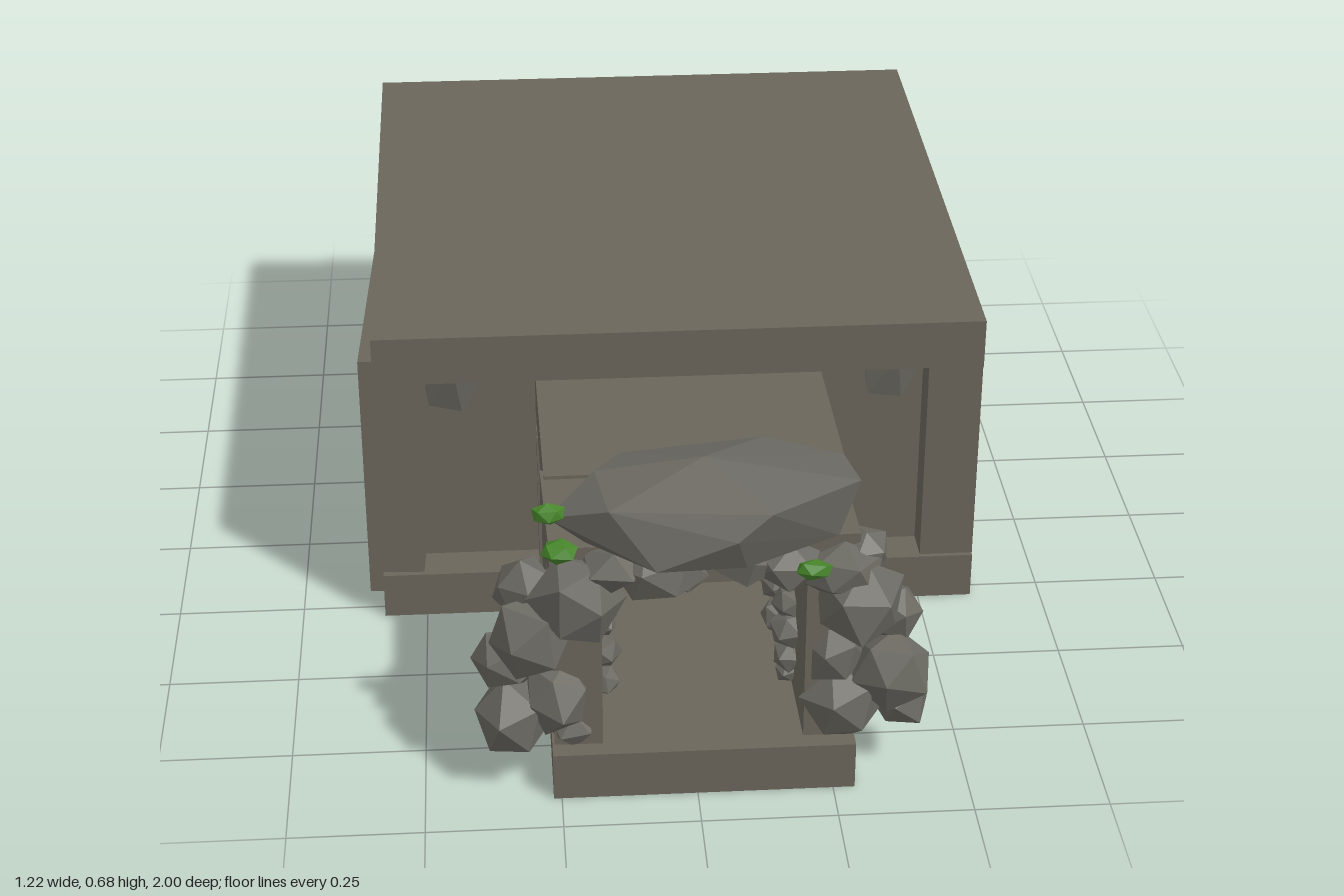
import * as THREE from 'three';
import { ConvexGeometry } from 'three/addons/geometries/ConvexGeometry.js';

export function createModel() {
  const model = new THREE.Group();
  model.name = 'caveDen';

  const material = (name, color) => {
    const m = new THREE.MeshStandardMaterial({ color, flatShading: true });
    m.name = name;
    return m;
  };
  const stone = material('stone', 0x6b665b);
  const boulder = material('boulder', 0x6b6962);
  const moss = material('moss', 0x47852b);

  // Small seeded generator for rock variation
  let seed = 17;
  const random = () => {
    seed = (seed * 16807) % 2147483647;
    return seed / 2147483647;
  };
  const spread = (amount) => (random() * 2 - 1) * amount;

  function add(parent, name, geometry, mat) {
    const mesh = new THREE.Mesh(geometry, mat);
    mesh.name = name;
    parent.add(mesh);
    return mesh;
  }

  // Slab given by its extents on each axis, with a slight tilt
  function slab(name, [x0, x1], [y0, y1], [z0, z1], rx = 0, ry = 0) {
    const mesh = add(model, name, new THREE.BoxGeometry(x1 - x0, y1 - y0, z1 - z0), stone);
    mesh.position.set((x0 + x1) / 2, (y0 + y1) / 2, (z0 + z1) / 2);
    mesh.rotation.set(rx, ry, 0);
    return mesh;
  }

  // Irregular faceted rock: hull of a jittered icosahedron
  const unit = new THREE.IcosahedronGeometry(1, 0).getAttribute('position');
  const corners = [];
  for (let i = 0; i < unit.count; i++) {
    const v = new THREE.Vector3().fromBufferAttribute(unit, i);
    if (!corners.some((c) => c.distanceTo(v) < 0.01)) corners.push(v);
  }
  function rock(parent, name, x, y, z, sx, sy, sz, mat = boulder) {
    const turn = new THREE.Euler(random() * 6, random() * 6, random() * 6);
    const points = corners.map((c) => c.clone().applyEuler(turn)
      .multiplyScalar(1 + spread(0.12)).multiply(new THREE.Vector3(sx, sy, sz)));
    const mesh = add(parent, name, new ConvexGeometry(points), mat);
    mesh.position.set(x, y, z);
    return mesh;
  }

  // Chamber
  slab('chamberFloor', [-0.585, 0.608], [0, 0.095], [-0.96, 0.285]);
  slab('chamberCeiling', [-0.585, 0.608], [0.537, 0.637], [-0.965, 0.285], 0.011);
  slab('chamberRightWall', [-0.64, -0.53].map((x) => x + 0.055), [0.05, 0.575], [-0.96, 0.272], 0, -0.045);
  slab('chamberLeftWall', [0.5, 0.607], [0.06, 0.58], [-0.96, 0.275], 0, 0.003);
  slab('chamberBackWall', [-0.58, 0.603], [0.06, 0.58], [-0.985, -0.89], 0, -0.02);
  slab('chamberFrontWallRight', [-0.53, -0.2], [0.05, 0.57], [0.1, 0.205]);
  slab('chamberFrontWallLeft', [0.2, 0.53], [0.05, 0.57], [0.1, 0.205]);

  // Tunnel
  slab('tunnelFloor', [-0.265, 0.29], [0, 0.095], [0.2, 0.915]);
  slab('tunnelRearRoof', [-0.268, 0.292], [0.425, 0.52], [0.15, 0.64], -0.02, 0.01);
  slab('tunnelFrontRoof', [-0.268, 0.288], [0.43, 0.517], [0.6, 0.87], 0.01, 0.03);
  for (const side of [-1, 1]) {
    const range = (a, b) => [side * a + 0.012, side * b + 0.012].sort((p, q) => p - q);
    const label = side > 0 ? 'Left' : 'Right';
    slab('tunnelRearWall' + label, range(0.18, 0.277), [0.05, 0.45], [0.15, 0.68]);
    slab('tunnelFrontWall' + label, range(0.182, 0.271), [0.06, 0.44], [0.62, 0.88], 0, side * 0.015);
    slab('tunnelPost' + label, range(0.19, 0.283), [0.09, 0.42], [0.27, 0.315]);
  }

  // Small stones lining the tunnel walls and roof corners
  const lining = new THREE.Group();
  lining.name = 'tunnelLiningStones';
  model.add(lining);
  for (const side of [-1, 1]) {
    for (let i = 0; i < 18; i++) {
      const r = 0.024 + random() * 0.014;
      rock(lining, 'liningStone', side * 0.172 + 0.012, 0.12 + (i % 6) * 0.052 + spread(0.015),
        0.36 + Math.floor(i / 6) * 0.16 + spread(0.06), r, r, r * 1.2);
    }
    for (let i = 0; i < 4; i++) {
      rock(lining, 'roofStone', side * 0.13 + spread(0.03), 0.42, 0.34 + i * 0.12, 0.04, 0.03, 0.04);
    }
  }

  // Hanging rocks at the chamber front and loose stones on the floor
  for (const x of [-0.43, 0.435]) {
    const geometry = new ConvexGeometry([
      [-0.055, 0.05, 0], [0.06, 0.05, 0.01], [0, 0.05, 0.05], [0, 0.05, -0.05],
      [-0.055, -0.01, 0.01], [-0.05, -0.04, 0.02], [0.015, -0.05, 0.03], [0.055, 0.02, 0.03],
    ].map((p) => new THREE.Vector3(...p)));
    const mesh = add(model, 'hangingRock', geometry, boulder);
    mesh.position.set(x, 0.49, 0.205);
    if (x > 0) mesh.rotation.y = Math.PI * 0.06;
  }
  for (const [x, z] of [[0.02, -0.1], [0.06, -0.08], [0.04, -0.15]]) {
    rock(model, 'floorStone', x, 0.1, z, 0.025, 0.015, 0.025);
  }

  // Boulders stacked around the entrance: x, y, z, and half sizes
  const entrance = new THREE.Group();
  entrance.name = 'entranceBoulders';
  model.add(entrance);
  [
    [-0.215, 0.42, 0.89, 0.085, 0.095, 0.075],
    [-0.3, 0.335, 0.88, 0.085, 0.085, 0.085],
    [-0.345, 0.27, 0.85, 0.068, 0.06, 0.06],
    [-0.335, 0.15, 0.86, 0.075, 0.085, 0.075],
    [-0.255, 0.2, 0.87, 0.065, 0.075, 0.065],
    [-0.225, 0.125, 0.85, 0.05, 0.045, 0.05],
    [-0.31, 0.41, 0.83, 0.06, 0.06, 0.055],
    [0.29, 0.385, 0.88, 0.085, 0.085, 0.08],
    [0.255, 0.45, 0.87, 0.075, 0.055, 0.07],
    [0.355, 0.24, 0.88, 0.078, 0.078, 0.075],
    [0.375, 0.145, 0.84, 0.06, 0.055, 0.06],
    [0.265, 0.16, 0.87, 0.075, 0.08, 0.075],
    [0.25, 0.27, 0.86, 0.06, 0.07, 0.06],
    [0.36, 0.33, 0.83, 0.055, 0.06, 0.055],
    [0.3, 0.47, 0.84, 0.05, 0.045, 0.05],
  ].forEach((b) => rock(entrance, 'entranceBoulder', ...b));

  // Rocks under the lintel
  [
    [-0.07, 0.465, 0.88, 0.085, 0.065, 0.07],
    [-0.02, 0.435, 0.82, 0.06, 0.045, 0.06],
    [0.08, 0.475, 0.86, 0.07, 0.045, 0.06],
    [0.16, 0.465, 0.87, 0.065, 0.045, 0.06],
    [-0.15, 0.48, 0.87, 0.07, 0.045, 0.07],
  ].forEach((b) => rock(entrance, 'archRock', ...b));

  // Large lintel rock
  add(model, 'lintelRock', new ConvexGeometry([
    [0.01, 0.68, 0.855], [-0.18, 0.638, 0.82], [0.19, 0.642, 0.85],
    [-0.265, 0.575, 0.87], [-0.13, 0.63, 0.745], [0.02, 0.62, 0.715], [0.13, 0.635, 0.712],
    [0.27, 0.62, 0.76], [0.287, 0.63, 0.87], [0.12, 0.635, 0.985], [-0.08, 0.53, 0.99],
    [0.06, 0.59, 1.0], [-0.16, 0.625, 0.94], [0.25, 0.525, 0.88], [-0.2, 0.523, 0.87],
    [-0.1, 0.52, 0.74], [0.15, 0.52, 0.74], [0.08, 0.515, 0.96],
  ].map((p) => new THREE.Vector3(...p))), boulder);

  // Moss tufts
  [
    [-0.262, 0.595, 0.89, 0.032, 0.02, 0.02],
    [-0.245, 0.525, 0.9, 0.036, 0.02, 0.03],
    [0.2, 0.48, 0.92, 0.036, 0.018, 0.025],
  ].forEach((b) => rock(model, 'mossTuft', ...b, moss));

  return model;
}
